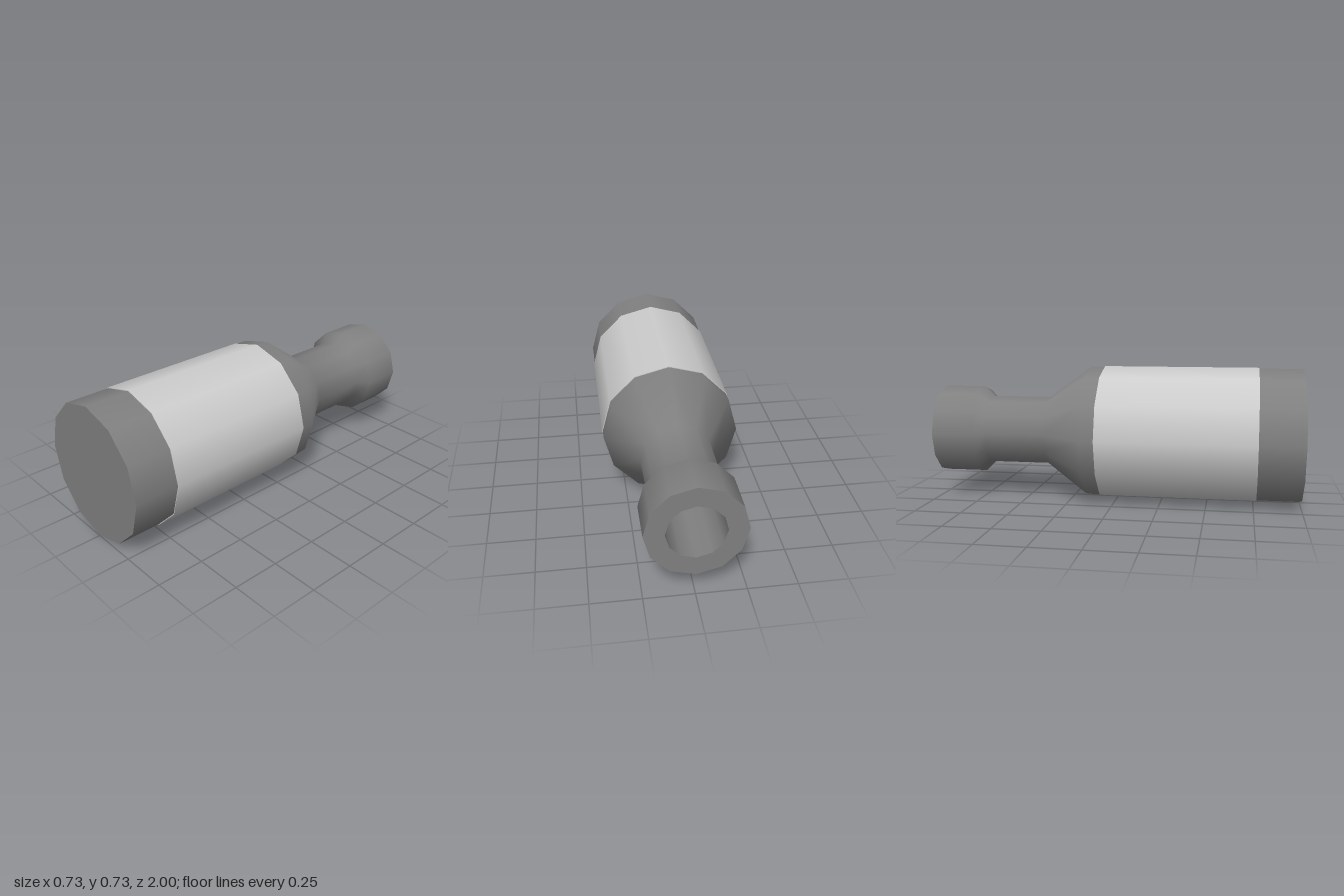
import * as THREE from 'three';

const SIDES = 12;
const AXIS_Y = 0.367;

// Turns a profile of [radius, z] points around the bottle's horizontal axis
function turned(name, material, profile) {
  const points = profile.map(([r, z]) => new THREE.Vector2(r, z));
  const geometry = new THREE.LatheGeometry(points, SIDES);
  geometry.rotateX(Math.PI / 2);
  const mesh = new THREE.Mesh(geometry, material);
  mesh.name = name;
  mesh.position.y = AXIS_Y;
  return mesh;
}

export function createModel() {
  const glass = new THREE.MeshStandardMaterial({ name: 'grey glass', color: 0x808080 });
  const paper = new THREE.MeshStandardMaterial({ name: 'pale label', color: 0xcccccc });

  const bottle = new THREE.Group();
  bottle.name = 'bottle';

  // Separate sections keep the rim and base edges crisp
  bottle.add(
    turned('mouthFloor', glass, [[0, -0.45], [0.145, -0.45]]),
    turned('mouthWall', glass, [[0.145, -0.45], [0.145, -1]]),
    turned('rim', glass, [[0.145, -1], [0.245, -1]]),
    turned('bottleBody', glass, [
      [0.245, -1], [0.245, -0.775], [0.19, -0.72], [0.19, -0.39],
      [0.363, -0.15], [0.363, 1],
    ]),
    turned('base', glass, [[0.363, 1], [0, 1]]),
  );

  // Label sleeve wrapped just outside the body, with its thin end edges
  bottle.add(
    turned('label', paper, [[0.367, -0.075], [0.367, 0.765]]),
    turned('labelShoulderEdge', paper, [[0.363, -0.075], [0.367, -0.075]]),
    turned('labelBaseEdge', paper, [[0.367, 0.765], [0.363, 0.765]]),
  );

  return bottle;
}
